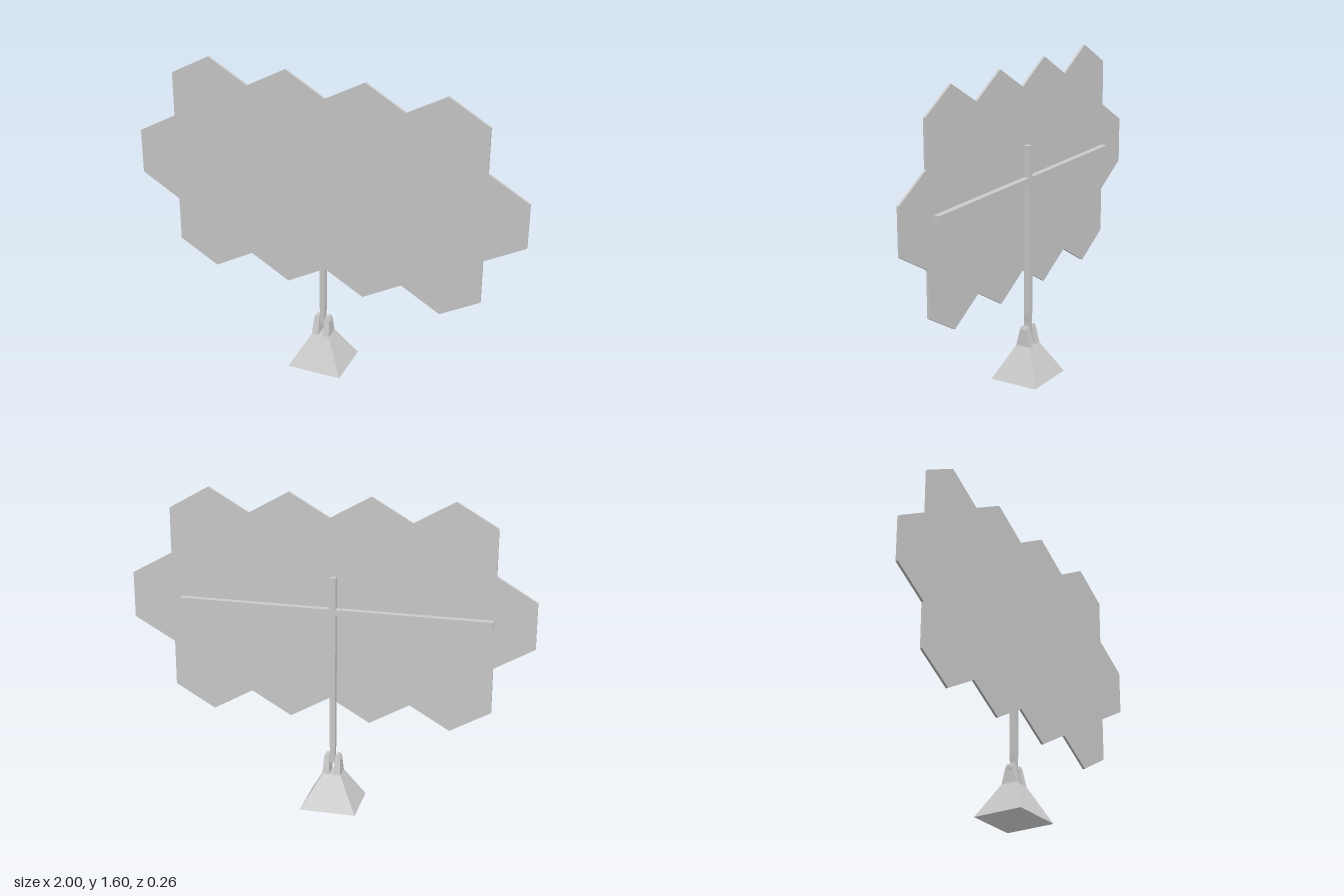
import * as THREE from 'three';

const grey = new THREE.MeshStandardMaterial({ color: 0xcccccc, flatShading: true, side: THREE.DoubleSide });
const MID = -0.025; // x of the post and its foot

function add(parent, name, geometry, x = 0, y = 0, z = 0) {
  const mesh = new THREE.Mesh(geometry, grey);
  mesh.name = name;
  mesh.position.set(x, y, z);
  parent.add(mesh);
  return mesh;
}

// Rectangular sections [y, x0, x1, halfDepth] joined bottom to top; optional end caps
function loft(sections, capBottom = true, capTop = true) {
  const pos = [];
  const rings = sections.map(([y, x0, x1, d]) => [[x0, y, d], [x1, y, d], [x1, y, -d], [x0, y, -d]]);
  const quad = (a, b, c, d) => pos.push(...a, ...b, ...c, ...a, ...c, ...d);
  for (let i = 0; i + 1 < rings.length; i++) {
    for (let k = 0; k < 4; k++) {
      const n = (k + 1) % 4;
      quad(rings[i][k], rings[i][n], rings[i + 1][n], rings[i + 1][k]);
    }
  }
  const top = rings[rings.length - 1];
  if (capTop) quad(top[0], top[1], top[2], top[3]);
  if (capBottom) quad(rings[0][3], rings[0][2], rings[0][1], rings[0][0]);
  const g = new THREE.BufferGeometry();
  g.setAttribute('position', new THREE.Float32BufferAttribute(pos, 3));
  g.computeVertexNormals();
  return g;
}

// Outline of three staggered hexagon rows (4, 5, 4)
function panelGeometry() {
  const R = 0.23, row = 0.344, cy = 1.0215, shift = -0.004;
  const pts = [];
  for (let i = 0; i <= 8; i++) pts.push([-0.8 + 0.2 * i + shift, cy + row + (i % 2 ? R : R / 2)]);
  pts.push([0.8 + shift, cy + R], [1, cy + R / 2], [1, cy - R / 2], [0.8 + shift, cy - R]);
  for (let i = 8; i >= 0; i--) pts.push([-0.8 + 0.2 * i + shift, cy - row - (i % 2 ? R : R / 2)]);
  pts.push([-0.8 + shift, cy - R], [-1, cy - R / 2], [-1, cy + R / 2], [-0.8 + shift, cy + R]);
  const shape = new THREE.Shape(pts.map(([x, y]) => new THREE.Vector2(x, y)));
  return new THREE.ExtrudeGeometry(shape, { depth: 0.012, bevelEnabled: false });
}

export function createModel() {
  const model = new THREE.Group();
  model.name = 'hexagonPanelOnStand';

  add(model, 'hexagonPanel', panelGeometry(), 0, 0, 0.015);

  // Cross-shaped support behind the panel
  add(model, 'crossBar', new THREE.BoxGeometry(1.55, 0.03, 0.032), MID, 1.02, -0.001);
  add(model, 'post', loft([
    [0.225, -0.011, 0.011, 0.016],
    [0.29, -0.011, 0.011, 0.016],
    [0.32, -0.014, 0.014, 0.016],
    [1.193, -0.014, 0.014, 0.016],
  ]), MID, 0, -0.001);

  // Hollow pyramid foot with a fork that holds the post
  const foot = new THREE.Group();
  foot.name = 'foot';
  foot.position.x = MID;
  model.add(foot);
  add(foot, 'pyramidBase', loft([[0, -0.141, 0.141, 0.128], [0.17, -0.046, 0.046, 0.04]], false));
  for (const s of [-1, 1]) {
    const sections = [
      [0.17, 0.012, 0.046, 0.04],
      [0.255, 0.014, 0.041, 0.0215],
      [0.27, 0.018, 0.036, 0.018],
    ].map(([y, a, b, d]) => (s > 0 ? [y, a, b, d] : [y, -b, -a, d]));
    add(foot, s > 0 ? 'leftProng' : 'rightProng', loft(sections, false));
  }
  const pin = add(foot, 'hingePin', new THREE.CylinderGeometry(0.011, 0.011, 0.09, 12), 0, 0.246, 0);
  pin.rotation.z = Math.PI / 2;

  return model;
}
